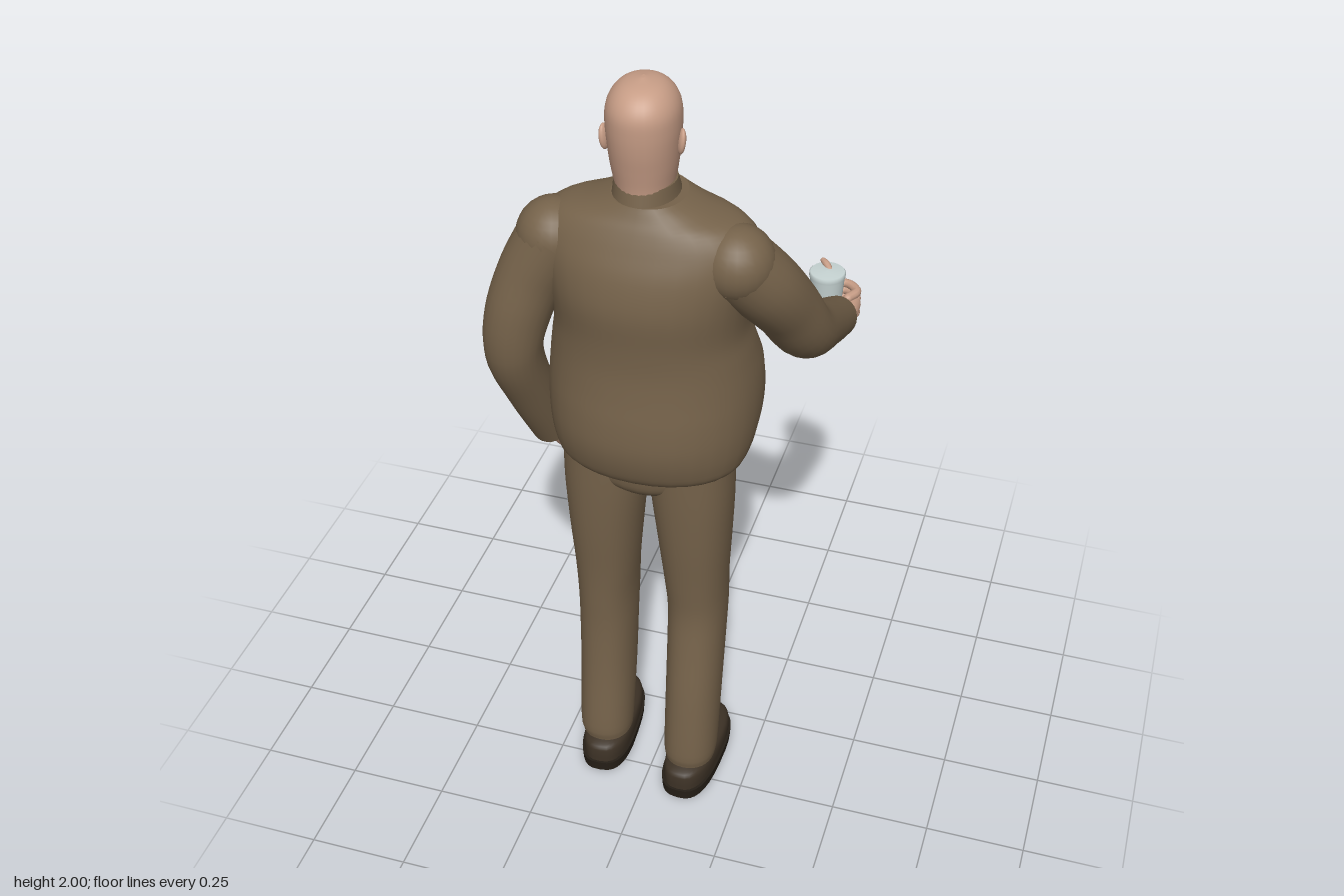
import * as THREE from 'three';

const mat = (name, color, side = THREE.FrontSide) => {
  const m = new THREE.MeshStandardMaterial({ color, side });
  m.name = name;
  return m;
};
const SEG = 32;

// Smooth interpolation through rows of numbers, t in row units
function rowSampler(rows) {
  const f = new THREE.CubicInterpolant(rows.map((_, i) => i), rows.flat(), rows[0].length);
  return (t) => Array.from(f.evaluate(t));
}

// Skin a stack of closed rings, capped at both ends
function skin(rings) {
  const n = rings[0].length, pos = [], idx = [];
  rings.forEach((r) => r.forEach((p) => pos.push(p.x, p.y, p.z)));
  for (let i = 0; i < rings.length - 1; i++) {
    for (let j = 0; j < n; j++) {
      const a = i * n + j, b = i * n + ((j + 1) % n);
      idx.push(a, a + n, b, a + n, b + n, b);
    }
  }
  [0, rings.length - 1].forEach((row) => {
    const ring = rings[row], c = new THREE.Vector3(), base = pos.length / 3;
    ring.forEach((p) => c.addScaledVector(p, 1 / n));
    [...ring, c].forEach((p) => pos.push(p.x, p.y, p.z));
    for (let j = 0; j < n; j++) {
      const k = (j + 1) % n;
      idx.push(base + n, base + (row ? k : j), base + (row ? j : k));
    }
  });
  const g = new THREE.BufferGeometry();
  g.setAttribute('position', new THREE.Float32BufferAttribute(pos, 3));
  g.setIndex(idx);
  g.computeVertexNormals();
  return g;
}

// Upright form from rows [y, centre x, half width, z front, z back]; power > 2 squares it off
function loft(rows, power = 2, steps = 4) {
  const at = rowSampler(rows), rings = [];
  const bend = (v) => Math.sign(v) * Math.abs(v) ** (2 / power);
  for (let i = 0; i <= (rows.length - 1) * steps; i++) {
    const [y, cx, w, zf, zb] = at(i / steps);
    rings.push(Array.from({ length: SEG }, (_, j) => {
      const a = (j / SEG) * Math.PI * 2;
      return new THREE.Vector3(cx + w * bend(Math.cos(a)), y, (zf + zb) / 2 + ((zb - zf) / 2) * bend(Math.sin(a)));
    }));
  }
  return skin(rings);
}

// Bent limb from rows [x, y, z, radius], with rounded ends if asked
function limb(rows, n = 20, round = true) {
  const curve = new THREE.CatmullRomCurve3(rows.map((r) => new THREE.Vector3(...r)));
  const radius = rowSampler(rows.map((r) => [r[3]]));
  const steps = (rows.length - 1) * 5;
  const { normals, binormals, tangents } = curve.computeFrenetFrames(steps, false);
  const rings = [];
  const add = (i, shift, scale) => {
    const t = i / steps, r = radius(t * (rows.length - 1))[0];
    const c = curve.getPoint(t).addScaledVector(tangents[i], shift * r);
    rings.push(Array.from({ length: n }, (_, j) => {
      const a = (j / n) * Math.PI * 2;
      return c.clone().addScaledVector(normals[i], Math.cos(a) * r * scale).addScaledVector(binormals[i], -Math.sin(a) * r * scale);
    }));
  };
  const cap = [0.3, 0.6, 0.85];
  if (round) [...cap].reverse().forEach((s) => add(0, -s, Math.sqrt(1 - s * s)));
  for (let i = 0; i <= steps; i++) add(i, 0, 1);
  if (round) cap.forEach((s) => add(steps, s, Math.sqrt(1 - s * s)));
  return skin(rings);
}

export function createModel() {
  const suit = mat('suit brown', 0x75624a);
  const seam = mat('seam dark brown', 0x3b3022);
  const skinTone = mat('skin', 0xc79d86);
  const leather = mat('shoe leather', 0x3d3226);
  const soleMat = mat('sole', 0x261f17);
  const hair = mat('black hair', 0x1c1714);
  const white = mat('eye white', 0xe6e2da);
  const cupMat = mat('pale cup', 0xc6d3d2);
  const lip = mat('lip', 0x8e5a4c);
  const model = new THREE.Group();
  const part = (name, geometry, material, parent = model) => {
    const m = new THREE.Mesh(geometry, material);
    m.name = name;
    parent.add(m);
    return m;
  };

  // Jacket body with overhanging belly
  const body = [
    [1.0, 0.14, 0.09, 0.29], [1.03, 0.215, 0.035, 0.335], [1.07, 0.238, -0.02, 0.355],
    [1.13, 0.25, -0.068, 0.367], [1.2, 0.254, -0.086, 0.365], [1.27, 0.25, -0.074, 0.356],
    [1.34, 0.238, -0.035, 0.35], [1.41, 0.226, -0.003, 0.352], [1.5, 0.235, 0.006, 0.359],
    [1.58, 0.25, 0.025, 0.345], [1.64, 0.25, 0.052, 0.32], [1.68, 0.215, 0.07, 0.3],
    [1.705, 0.145, 0.082, 0.285], [1.73, 0.085, 0.092, 0.272],
  ].map(([y, w, f, b]) => [y, -0.008, w, f, b]);
  part('jacket', loft(body, 2.15), suit);
  part('collar', loft([[1.69, -0.015, 0.085, 0.085, 0.28], [1.725, -0.015, 0.076, 0.088, 0.272],
    [1.765, -0.015, 0.07, 0.11, 0.262]]), suit);

  // Stitched front opening
  const bodyAt = rowSampler(body);
  for (let t = 3; t < 12.6; t += 0.55) {
    const dash = [0, 0.2, 0.4].map((d) => {
      const [y, , , zf] = bodyAt(t + d);
      return [-0.012, y, zf, 0.0025];
    });
    part('frontSeam', limb(dash, 6), seam);
  }

  // Trousers
  part('trouserSeat', loft([[0.93, -0.01, 0.04, 0.14, 0.25], [0.96, -0.01, 0.13, 0.1, 0.285],
    [1.0, -0.01, 0.2, 0.08, 0.3], [1.1, -0.01, 0.21, 0.07, 0.31]]), suit);
  const leg = (cx, side, shift) => loft([
    [0.085, cx + side * 0.12, 0.064, 0.162 + shift, 0.308 + shift],
    [0.13, cx + side * 0.121, 0.068, 0.155 + shift, 0.313 + shift],
    [0.3, cx + side * 0.121, 0.07, 0.122 + shift, 0.298 + shift],
    [0.45, cx + side * 0.12, 0.072, 0.093 + shift / 2, 0.276 + shift / 2],
    [0.56, cx + side * 0.119, 0.074, 0.075 + shift / 3, 0.264], [0.66, cx + side * 0.116, 0.079, 0.079, 0.271],
    [0.8, cx + side * 0.113, 0.09, 0.078, 0.286], [0.94, cx + side * 0.109, 0.1, 0.078, 0.296],
    [1.08, cx + side * 0.106, 0.1, 0.08, 0.3],
  ], 2.2);
  part('rightLeg', leg(-0.013, 1, 0), suit);
  part('leftLeg', leg(-0.013, -1, -0.032), suit);

  // Shoes
  [[0.108, 0.183, -0.05, 'rightShoe'], [-0.137, 0.15, 0.07, 'leftShoe']].forEach(([x, z, turn, name]) => {
    const shoe = new THREE.Group();
    shoe.name = name;
    shoe.position.set(x, 0, z);
    shoe.rotation.y = turn;
    model.add(shoe);
    part('sole', loft([[0, 0, 0.067, -0.16, 0.155], [0.028, 0, 0.069, -0.163, 0.157]], 2.8, 1), soleMat, shoe);
    part('upper', loft([[0.026, 0, 0.063, -0.157, 0.151], [0.055, 0, 0.064, -0.156, 0.15],
      [0.074, 0, 0.057, -0.145, 0.143], [0.086, 0, 0.03, -0.11, 0.11]], 2.7), leather, shoe);
  });

  // Sleeves: one reaching forward, one hanging
  part('rightSleeve', limb([[0.195, 1.6, 0.215, 0.088], [0.25, 1.525, 0.17, 0.084], [0.288, 1.43, 0.1, 0.078],
    [0.314, 1.335, 0.03, 0.073], [0.325, 1.262, -0.1, 0.062], [0.333, 1.19, -0.25, 0.052]], 24, false), suit);
  part('rightShoulder', new THREE.SphereGeometry(0.088, 24, 16).translate(0.2, 1.6, 0.215), suit);
  part('leftSleeve', limb([[-0.215, 1.6, 0.215, 0.088], [-0.27, 1.5, 0.235, 0.081], [-0.303, 1.4, 0.255, 0.076],
    [-0.317, 1.3, 0.258, 0.07], [-0.305, 1.15, 0.2, 0.06], [-0.285, 0.99, 0.125, 0.05]], 24, false), suit);
  part('leftShoulder', new THREE.SphereGeometry(0.088, 24, 16).translate(-0.22, 1.6, 0.215), suit);

  // Cup held upright, with a small stopper
  part('cup', new THREE.LatheGeometry([[0, 1.115], [0.031, 1.115], [0.033, 1.12], [0.038, 1.2], [0.043, 1.272],
    [0.045, 1.276], [0.045, 1.286], [0.042, 1.289], [0, 1.291]].map((p) => new THREE.Vector2(...p)), 32)
    .translate(0.295, 0, -0.295), cupMat);
  part('stopper', limb([[0.297, 1.286, -0.308, 0.008], [0.285, 1.292, -0.322, 0.009], [0.275, 1.294, -0.332, 0.007]], 10), skinTone);

  // Hand wrapped around the cup
  part('rightPalm', limb([[0.336, 1.19, -0.235, 0.032], [0.35, 1.19, -0.275, 0.029], [0.353, 1.19, -0.315, 0.026]]), skinTone);
  for (let i = 0; i < 4; i++) {
    const y = 1.16 + i * 0.02;
    part('rightFinger', limb([[0.35, y, -0.295, 0.012], [0.364, y, -0.33, 0.012], [0.335, y, -0.36, 0.011],
      [0.3, y, -0.352, 0.01], [0.27, y, -0.336, 0.009]], 10), skinTone);
  }
  part('rightThumb', limb([[0.343, 1.2, -0.262, 0.014], [0.31, 1.213, -0.25, 0.012], [0.274, 1.218, -0.252, 0.01]], 10), skinTone);

  // Relaxed hanging hand
  part('leftPalm', limb([[-0.285, 1.0, 0.125, 0.027], [-0.281, 0.965, 0.098, 0.031], [-0.272, 0.925, 0.075, 0.027]]), skinTone);
  for (let i = 0; i < 4; i++) {
    const s = (i - 1.5) * 0.013, reach = i === 0 || i === 3 ? 0.012 : 0;
    part('leftFinger', limb([[-0.274 + s, 0.935, 0.077 + s, 0.012], [-0.268 + s, 0.895, 0.055 + s, 0.011],
      [-0.25 + s, 0.866 + reach, 0.054 + s, 0.01], [-0.235 + s, 0.85 + reach, 0.062 + s, 0.008]], 10), skinTone);
  }
  part('leftThumb', limb([[-0.268, 0.965, 0.085, 0.014], [-0.24, 0.935, 0.065, 0.012], [-0.23, 0.905, 0.06, 0.009]], 10), skinTone);

  // Head, turned slightly
  const head = new THREE.Group();
  head.name = 'head';
  head.position.set(-0.018, 0, 0.186);
  head.rotation.y = 0.15;
  model.add(head);
  part('skull', loft([
    [1.69, 0, 0.064, -0.06, 0.072], [1.72, 0, 0.064, -0.075, 0.074], [1.74, 0, 0.065, -0.092, 0.076],
    [1.77, 0, 0.07, -0.099, 0.08], [1.81, 0, 0.076, -0.1, 0.088], [1.855, 0, 0.08, -0.099, 0.097],
    [1.9, 0, 0.083, -0.102, 0.102], [1.94, 0, 0.08, -0.096, 0.101], [1.97, 0, 0.066, -0.078, 0.085],
    [1.99, 0, 0.042, -0.048, 0.056], [2.0, 0, 0.004, -0.006, 0.01],
  ], 2.1), skinTone, head);
  part('nose', limb([[0, 1.888, -0.096, 0.008], [0, 1.865, -0.107, 0.0095], [0, 1.845, -0.112, 0.012]], 12), skinTone, head);
  part('moustache', limb([[-0.037, 1.806, -0.091, 0.004], [-0.02, 1.82, -0.1, 0.009], [0, 1.824, -0.105, 0.009],
    [0.02, 1.82, -0.1, 0.009], [0.037, 1.806, -0.091, 0.004]], 10), hair, head);
  part('mouth', limb([[-0.02, 1.797, -0.095, 0.004], [0, 1.798, -0.1, 0.005], [0.02, 1.797, -0.095, 0.004]], 8), lip, head);
  [-1, 1].forEach((s) => {
    const eye = part('eye', new THREE.SphereGeometry(0.012, 16, 10).scale(1, 0.6, 0.5), white, head);
    eye.position.set(s * 0.032, 1.872, -0.09);
    eye.rotation.y = -s * 0.4;
    const iris = part('iris', new THREE.SphereGeometry(0.0065, 12, 8).scale(1, 1, 0.5), hair, head);
    iris.position.set(s * 0.031, 1.872, -0.0945);
    part('eyebrow', limb([[s * 0.012, 1.882, -0.101, 0.005], [s * 0.035, 1.893, -0.093, 0.005],
      [s * 0.055, 1.894, -0.077, 0.003]], 8), hair, head);
    const ear = part('ear', new THREE.SphereGeometry(0.03, 16, 12).scale(0.3, 1, 0.62), skinTone, head);
    ear.position.set(s * 0.083, 1.862, 0.018);
    ear.rotation.set(0, s * 0.35, -s * 0.12);
  });
  return model;
}
